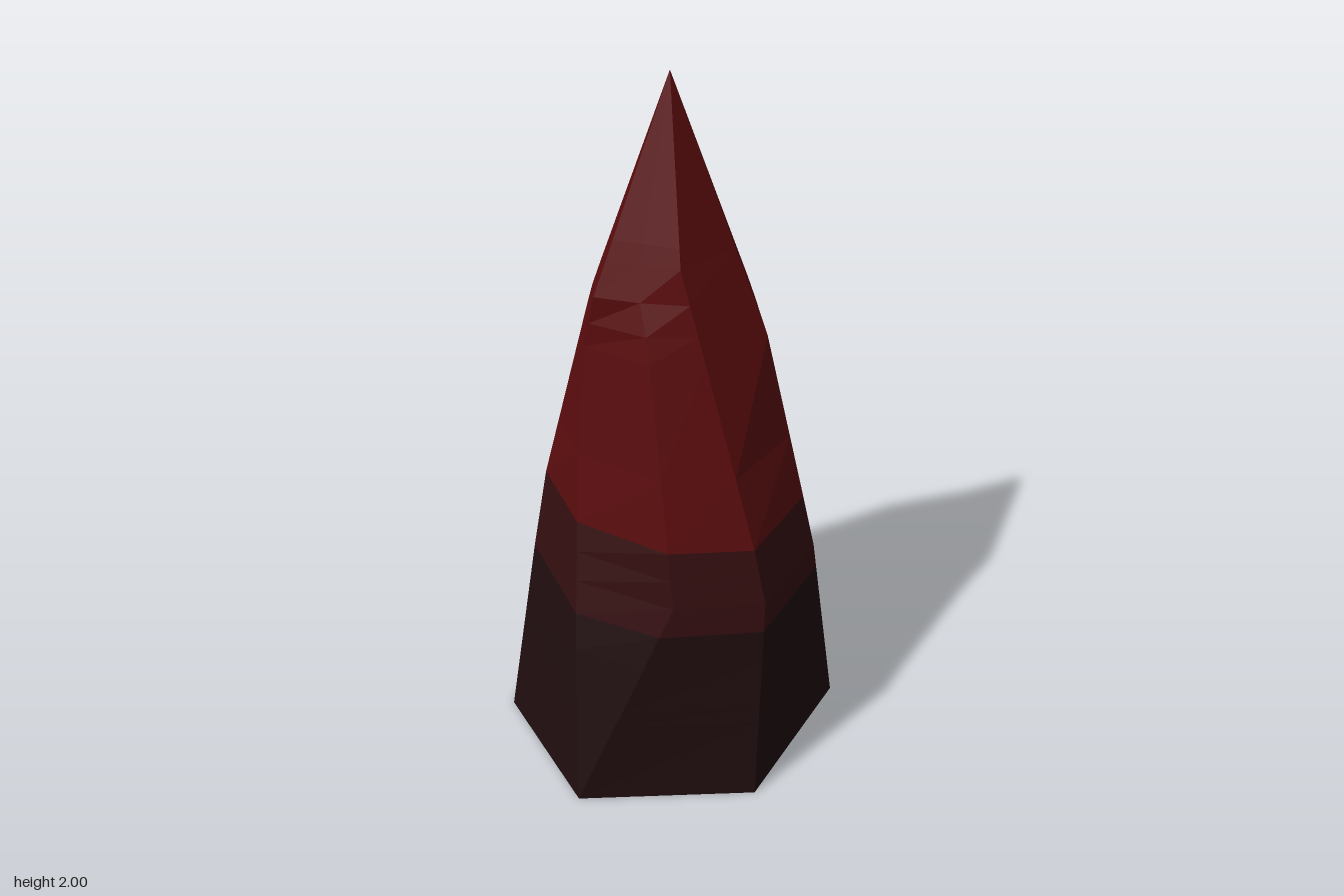
import * as THREE from 'three';

// Ridge lines of the spike, clockwise from the back: [x, y, z] from base upward
const APEX = [0.03, 2, 0.01];
const ridges = [
  [[0.055, 0, -0.49], [0.06, 0.3, -0.44], [0.11, 0.72, -0.315], [0.155, 1.36, -0.2]],
  [[0.25, 0, -0.375], [0.24, 0.25, -0.385], [0.25, 0.55, -0.265], [0.24, 0.8, -0.222], [0.22, 1.33, -0.13]],
  [[0.44, 0, -0.26], [0.415, 0.64, -0.12], [0.38, 0.8, -0.11], [0.28, 1.31, -0.055]],
  [[0.43, 0, 0.23], [0.41, 0.64, 0.17], [0.37, 0.8, 0.165], [0.13, 1.55, 0.135]],
  [[0.01, 0, 0.49], [0.21, 0.64, 0.31], [0.08, 1.36, 0.21], [0.03, 1.5, 0.175]],
  [[0.01, 0, 0.49], [-0.05, 0.45, 0.385], [-0.095, 0.8, 0.285], [-0.105, 1, 0.255], [-0.1, 1.31, 0.215], [-0.07, 1.46, 0.215]],
  [[-0.36, 0, 0.255], [-0.32, 0.55, 0.16], [-0.29, 0.8, 0.13], [-0.13, 1.43, 0.125]],
  [[-0.44, 0, -0.09], [-0.335, 0.8, -0.03], [-0.3, 1, -0.02], [-0.175, 1.39, 0.045]],
  [[-0.275, 0, -0.345], [-0.2, 0.8, -0.235], [-0.12, 1.31, -0.16], [-0.015, 1.6, -0.12]],
].map((r) => [...r, APEX]);

// Point on a ridge at a given height
function pointAt(ridge, y) {
  let k = 0;
  while (k < ridge.length - 2 && ridge[k + 1][1] < y) k++;
  const [a, b] = [ridge[k], ridge[k + 1]];
  const t = (y - a[1]) / (b[1] - a[1]);
  return [a[0] + (b[0] - a[0]) * t, y, a[2] + (b[2] - a[2]) * t];
}

// Faceted open shell running through rings at the given heights
function band(heights) {
  const pos = [];
  const n = ridges.length;
  for (let h = 0; h < heights.length - 1; h++) {
    for (let i = 0; i < n; i++) {
      const [p, q] = [ridges[i], ridges[(i + 1) % n]];
      const a = pointAt(p, heights[h]), b = pointAt(q, heights[h]);
      const c = pointAt(p, heights[h + 1]), d = pointAt(q, heights[h + 1]);
      pos.push(...a, ...c, ...b);
      if (heights[h + 1] < 2) pos.push(...b, ...c, ...d);
    }
  }
  const g = new THREE.BufferGeometry();
  g.setAttribute('position', new THREE.Float32BufferAttribute(pos, 3));
  g.computeVertexNormals();
  return g;
}

export function createModel() {
  const group = new THREE.Group();
  group.name = 'spike';
  // Three colour bands, open underneath
  const parts = [
    ['darkBase', 'charcoal', 0x1f0d0e, [0, 0.25, 0.3, 0.45, 0.55]],
    ['middleBand', 'darkMaroon', 0x340e10, [0.55, 0.64, 0.72, 0.8]],
    ['redTip', 'deepRed', 0x5a0c0e, [0.8, 1, 1.31, 1.38, 1.46, 1.55, 1.6, 2]],
  ];
  for (const [name, colourName, color, heights] of parts) {
    const material = new THREE.MeshStandardMaterial({ color, flatShading: true, side: THREE.DoubleSide });
    material.name = colourName;
    const mesh = new THREE.Mesh(band(heights), material);
    mesh.name = name;
    group.add(mesh);
  }
  return group;
}
